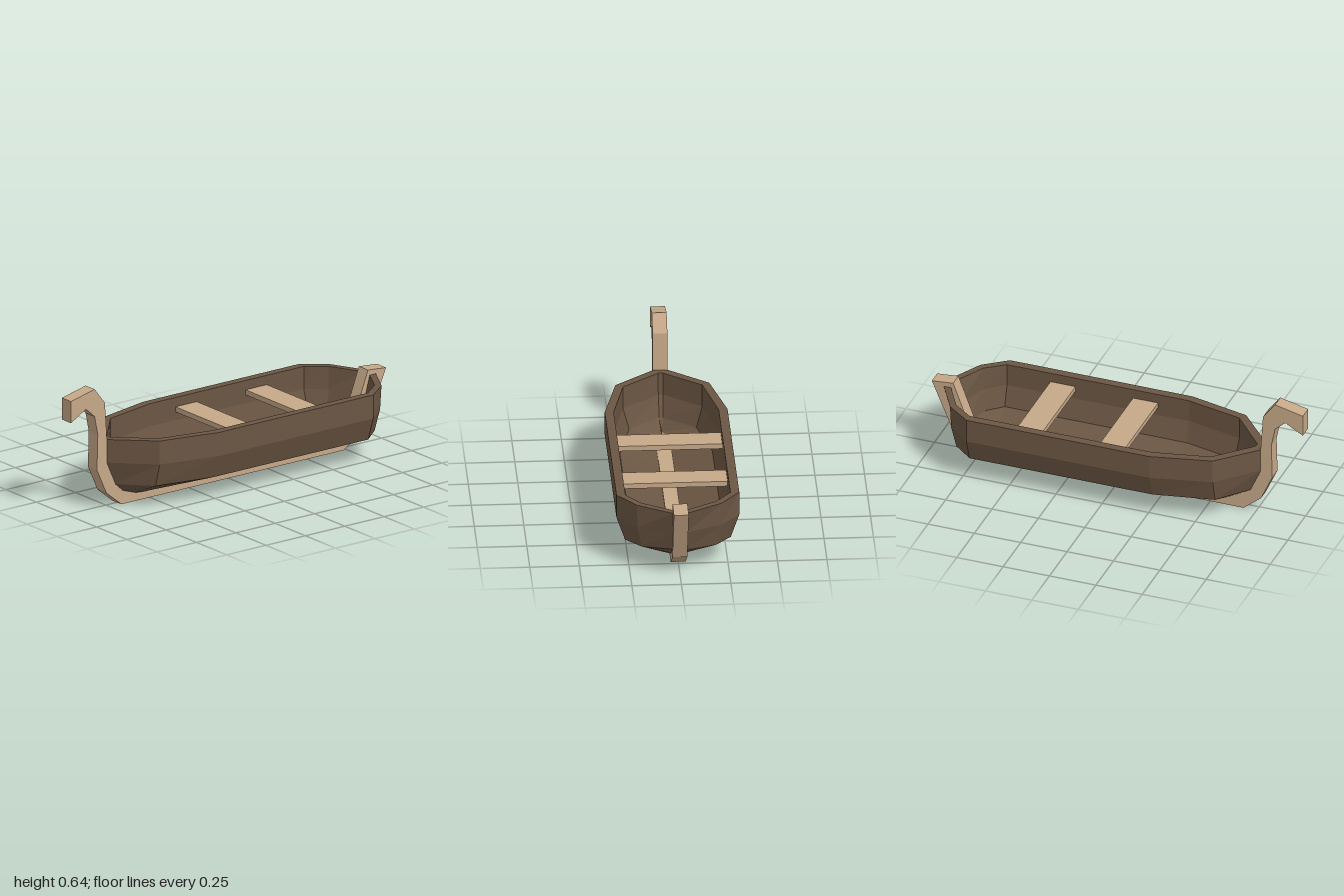
import * as THREE from 'three';

const WIDTH = 0.075;

// Half outlines (x, y, z) run from bow to stern; the other half is mirrored.
const HULL_LEVELS = [
  // outside: bottom, chine, bilge, rim
  [[0, 0.06, 0.69], [0, 0.026, 0.59], [0, 0.026, 0.275], [0, 0.026, -0.71], [0, 0.07, -0.79], [0, 0.115, -0.86]],
  [[0.035, 0.115, 0.72], [0.203, 0.122, 0.59], [0.267, 0.122, 0.275], [0.267, 0.122, -0.71], [0.19, 0.128, -0.81], [0.03, 0.135, -0.87]],
  [[0.035, 0.24, 0.775], [0.237, 0.245, 0.59], [0.31, 0.245, 0.275], [0.31, 0.245, -0.71], [0.21, 0.245, -0.83], [0.03, 0.243, -0.905]],
  [[0.035, 0.362, 0.775], [0.237, 0.37, 0.59], [0.31, 0.37, 0.275], [0.31, 0.37, -0.71], [0.215, 0.37, -0.835], [0.035, 0.366, -0.937]],
  // inside: rim, bilge, chine, floor
  [[0.012, 0.362, 0.735], [0.2, 0.37, 0.567], [0.265, 0.37, 0.27], [0.265, 0.37, -0.71], [0.19, 0.37, -0.81], [0.03, 0.366, -0.9]],
  [[0.012, 0.245, 0.73], [0.2, 0.25, 0.567], [0.265, 0.25, 0.27], [0.265, 0.25, -0.71], [0.185, 0.25, -0.805], [0.03, 0.25, -0.87]],
  [[0.01, 0.14, 0.68], [0.17, 0.14, 0.555], [0.233, 0.14, 0.27], [0.233, 0.14, -0.71], [0.165, 0.14, -0.785], [0.03, 0.145, -0.83]],
  [[0, 0.08, 0.64], [0, 0.06, 0.555], [0, 0.06, 0.27], [0, 0.06, -0.7], [0, 0.09, -0.76], [0, 0.125, -0.82]],
];

// Side profile (z, y) of the keel with its hooked stem and raked stern post
const KEEL_PROFILE = [
  [-0.73, 0], [0.68, 0], [0.775, 0.078], [0.835, 0.212], [0.83, 0.4], [0.85, 0.5],
  [0.905, 0.55], [1, 0.495], [1, 0.61], [0.85, 0.645], [0.785, 0.56], [0.772, 0.362],
  [0.752, 0.235], [0.71, 0.125], [0.645, 0.08], [-0.7, 0.08], [-0.785, 0.13],
  [-0.885, 0.395], [-1, 0.385], [-0.877, 0.095],
];

function material(color) {
  return new THREE.MeshStandardMaterial({ color, flatShading: true });
}

// Joins consecutive closed rings with flat-shaded quads
function loft(rings) {
  const positions = [];
  for (let r = 0; r < rings.length - 1; r++) {
    const low = rings[r], high = rings[r + 1], n = low.length;
    for (let i = 0; i < n; i++) {
      const j = (i + 1) % n;
      for (const p of [low[i], low[j], high[j], low[i], high[j], high[i]]) positions.push(...p);
    }
  }
  const geometry = new THREE.BufferGeometry();
  geometry.setAttribute('position', new THREE.Float32BufferAttribute(positions, 3));
  geometry.computeVertexNormals();
  return geometry;
}

export function createModel() {
  const boat = new THREE.Group();
  boat.name = 'rowingBoat';
  const darkWood = material(0x6b5643);
  const paleWood = material(0xc6a888);

  const add = (name, geometry, mat) => {
    const mesh = new THREE.Mesh(geometry, mat);
    mesh.name = name;
    boat.add(mesh);
    return mesh;
  };

  // Hull shell, wrapping over the rim from outside to inside
  const rings = HULL_LEVELS.map((half) => [
    ...half,
    ...half.map(([x, y, z]) => [-x, y, z]).reverse(),
  ]);
  add('hull', loft(rings), darkWood);

  // Keel, stem and stern post in one piece
  const shape = new THREE.Shape(KEEL_PROFILE.map(([z, y]) => new THREE.Vector2(z, y)));
  const keel = new THREE.ExtrudeGeometry(shape, { depth: WIDTH, bevelEnabled: false });
  keel.translate(0, 0, -WIDTH / 2).rotateY(-Math.PI / 2);
  add('keelAndPosts', keel, paleWood);

  // Bench seats
  [['frontSeat', 0.037], ['rearSeat', -0.408]].forEach(([name, z]) => {
    add(name, new THREE.BoxGeometry(0.532, 0.027, 0.135), paleWood).position.set(0, 0.307, z);
  });

  return boat;
}
